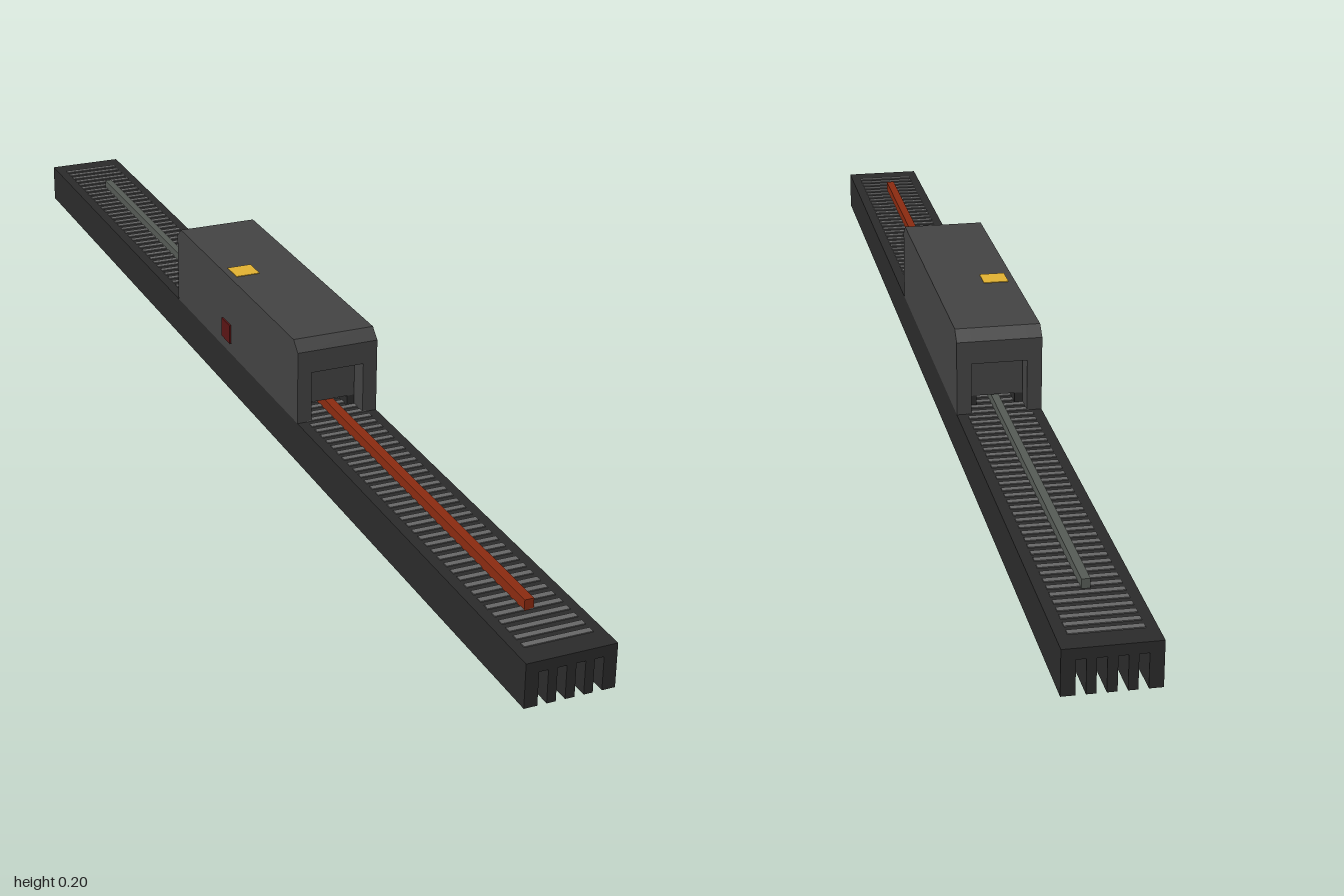
import * as THREE from 'three';

export function createModel() {
  const model = new THREE.Group();
  const mat = (color) => new THREE.MeshStandardMaterial({ color, flatShading: true });
  const railMat = mat(0x2a2a2a), slatMat = mat(0x666666), housingMat = mat(0x424242);
  const redMat = mat(0x8a2a10), darkRedMat = mat(0x5a1414), yellowMat = mat(0xe0b030), greyMat = mat(0x555a55);

  // Box given by its minimum and maximum corners
  function box(name, material, x0, x1, y0, y1, z0, z1, parent = model) {
    const mesh = new THREE.Mesh(new THREE.BoxGeometry(x1 - x0, y1 - y0, z1 - z0), material);
    mesh.position.set((x0 + x1) / 2, (y0 + y1) / 2, (z0 + z1) / 2);
    mesh.name = name;
    parent.add(mesh);
    return mesh;
  }

  // Rail: comb-shaped section with four slots underneath, run along z
  const railShape = new THREE.Shape();
  railShape.moveTo(-0.066, 0.066);
  railShape.lineTo(-0.066, 0);
  for (const x of [-0.04, -0.0135, 0.0135, 0.04]) {
    railShape.lineTo(x - 0.0067, 0);
    railShape.lineTo(x - 0.0067, 0.05);
    railShape.lineTo(x + 0.0067, 0.05);
    railShape.lineTo(x + 0.0067, 0);
  }
  railShape.lineTo(0.066, 0);
  railShape.lineTo(0.066, 0.066);
  const railGeo = new THREE.ExtrudeGeometry(railShape, { depth: 2, bevelEnabled: false });
  railGeo.translate(0, 0, -1);
  const rail = new THREE.Mesh(railGeo, railMat);
  rail.name = 'rail';
  model.add(rail);

  // Cross slats on top of the rail
  const slats = new THREE.Group();
  slats.name = 'slats';
  model.add(slats);
  for (let i = -48; i <= 48; i++) {
    box('slat', slatMat, -0.05, 0.05, 0.065, 0.0675, i * 0.02 - 0.005, i * 0.02 + 0.005, slats);
  }

  // Housing: end-chamfered side profile, built as two walls and a roof
  const housing = new THREE.Group();
  housing.name = 'housing';
  model.add(housing);
  function housingSlab(name, x0, x1, yBottom) {
    const s = new THREE.Shape();
    s.moveTo(-0.265, yBottom);
    s.lineTo(0.265, yBottom);
    s.lineTo(0.265, 0.184);
    s.lineTo(0.248, 0.2);
    s.lineTo(-0.248, 0.2);
    s.lineTo(-0.265, 0.184);
    s.closePath();
    const geo = new THREE.ExtrudeGeometry(s, { depth: x1 - x0, bevelEnabled: false });
    geo.rotateY(-Math.PI / 2);
    geo.translate(x1, 0, 0);
    const mesh = new THREE.Mesh(geo, housingMat);
    mesh.name = name;
    housing.add(mesh);
  }
  housingSlab('rightWall', -0.066, -0.043, 0.066);
  housingSlab('leftWall', 0.043, 0.066, 0.066);
  housingSlab('roof', -0.043, 0.043, 0.148);

  // Carriage recessed in the tunnel, with a foot along each side
  box('carriage', housingMat, -0.042, 0.042, 0.083, 0.148, -0.235, 0.235);
  for (const s of [-1, 1]) {
    box('carriageFoot', railMat, s * 0.036 - 0.006, s * 0.036 + 0.006, 0.066, 0.083, -0.235, 0.235);
  }
  box('crossBar', greyMat, -0.025, 0.025, 0.07, 0.078, -0.2, 0.2);

  // Rods running out of both ends
  box('frontRod', redMat, -0.007, 0.007, 0.066, 0.082, 0.2, 0.885);
  box('backRod', greyMat, -0.006, 0.006, 0.066, 0.08, -0.85, -0.2);

  // Roof marker and side button
  box('roofMarker', yellowMat, -0.055, -0.015, 0.198, 0.201, -0.056, -0.016);
  box('sideButton', darkRedMat, -0.069, -0.064, 0.085, 0.117, -0.05, -0.014);

  return model;
}
